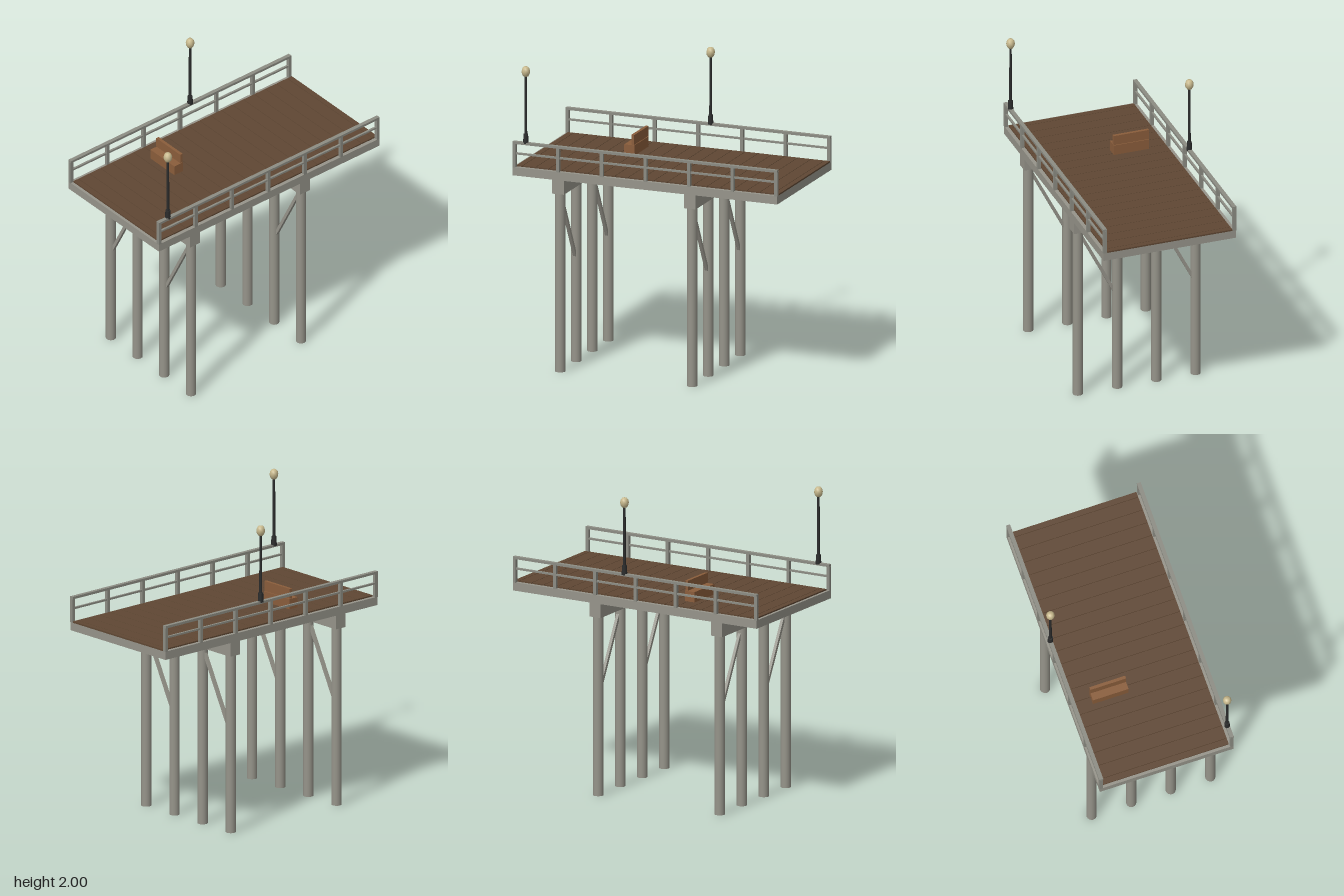
import * as THREE from 'three';

const mat = (name, color) => {
  const m = new THREE.MeshStandardMaterial({ color });
  m.name = name;
  return m;
};

export function createModel() {
  const root = new THREE.Group();
  root.name = 'pier';
  const concrete = mat('concrete', 0x96948a);
  const railPaint = mat('railGrey', 0x8c8c83);
  const deckWood = mat('deckWood', 0x5f4733);
  const benchWood = mat('benchWood', 0x8a5d3b);
  const iron = mat('darkIron', 0x2b2c2c);
  const glass = mat('lampGlass', 0xc9ba8e);

  const add = (name, geo, material, x, y, z, parent = root) => {
    const m = new THREE.Mesh(geo, material);
    m.name = name;
    m.position.set(x, y, z);
    parent.add(m);
    return m;
  };
  const box = (name, material, w, h, d, x, y, z, parent) =>
    add(name, new THREE.BoxGeometry(w, h, d), material, x, y, z, parent);

  // Deck slab with cross planks
  box('deckSlab', concrete, 0.9, 0.055, 1.825, 0, 1.3025, 0);
  const edges = [-0.915];
  for (let i = 0; i < 20; i++) edges.push(-0.876 + i * 0.091);
  edges.push(0.895);
  const planks = new THREE.Group();
  planks.name = 'planks';
  root.add(planks);
  for (let i = 0; i < edges.length - 1; i++) {
    const depth = edges[i + 1] - edges[i] - 0.003;
    box('plank', deckWood, 0.85, 0.01, depth, 0, 1.334, (edges[i] + edges[i + 1]) / 2, planks);
  }

  // Pile bents: cap beam, four piles and two diagonal braces
  const pileGeo = new THREE.CylinderGeometry(0.033, 0.033, 1.19, 16);
  for (const z of [0.605, -0.305]) {
    const bent = new THREE.Group();
    bent.name = 'pileBent';
    bent.position.z = z;
    root.add(bent);
    box('capBeam', concrete, 0.88, 0.095, 0.082, 0, 1.2275, 0, bent);
    for (const x of [-0.4, -0.133, 0.133, 0.4]) add('pile', pileGeo, concrete, x, 0.595, 0, bent);
    for (const x of [-0.4, 0.133]) {
      const dx = 0.267, dy = 0.52;
      const brace = box('brace', concrete, 0.02, Math.hypot(dx, dy), 0.02, x + dx / 2, 0.66 + dy / 2, 0, bent);
      brace.rotation.z = -Math.atan2(dx, dy);
    }
  }

  // Railings along both long sides
  for (const side of [-1, 1]) {
    const railing = new THREE.Group();
    railing.name = side > 0 ? 'leftRailing' : 'rightRailing';
    railing.position.x = side * 0.44;
    root.add(railing);
    box('topRail', railPaint, 0.026, 0.016, 1.825, 0, 1.492, 0, railing);
    box('midRail', railPaint, 0.014, 0.012, 1.825, 0, 1.42, 0, railing);
    for (let i = 0; i < 7; i++) {
      box('railPost', railPaint, 0.022, 0.16, 0.022, 0, 1.408, -0.903 + i * 0.301, railing);
    }
  }

  // Bench: solid seat and upright back
  const bench = new THREE.Group();
  bench.name = 'bench';
  bench.position.set(-0.185, 0, 0);
  root.add(bench);
  box('benchSeat', benchWood, 0.24, 0.068, 0.07, 0, 1.373, 0.322, bench);
  box('benchBack', benchWood, 0.24, 0.065, 0.02, 0, 1.4425, 0.298, bench);

  // Lamp posts standing on the rails
  const globeProfile = [[0, 1.934], [0.016, 1.936], [0.026, 1.952], [0.028, 1.97], [0.024, 1.987], [0.015, 1.998], [0, 2]]
    .map(([r, y]) => new THREE.Vector2(r, y));
  for (const [x, z] of [[-0.44, -0.084], [0.437, 0.827]]) {
    const lamp = new THREE.Group();
    lamp.name = 'lampPost';
    lamp.position.set(x, 0, z);
    root.add(lamp);
    add('lampBase', new THREE.CylinderGeometry(0.016, 0.019, 0.062, 8), iron, 0, 1.523, 0, lamp);
    add('lampPole', new THREE.CylinderGeometry(0.008, 0.01, 0.4, 8), iron, 0, 1.74, 0, lamp);
    add('lampGlobe', new THREE.LatheGeometry(globeProfile, 10), glass, 0, 0, 0, lamp);
  }
  return root;
}
